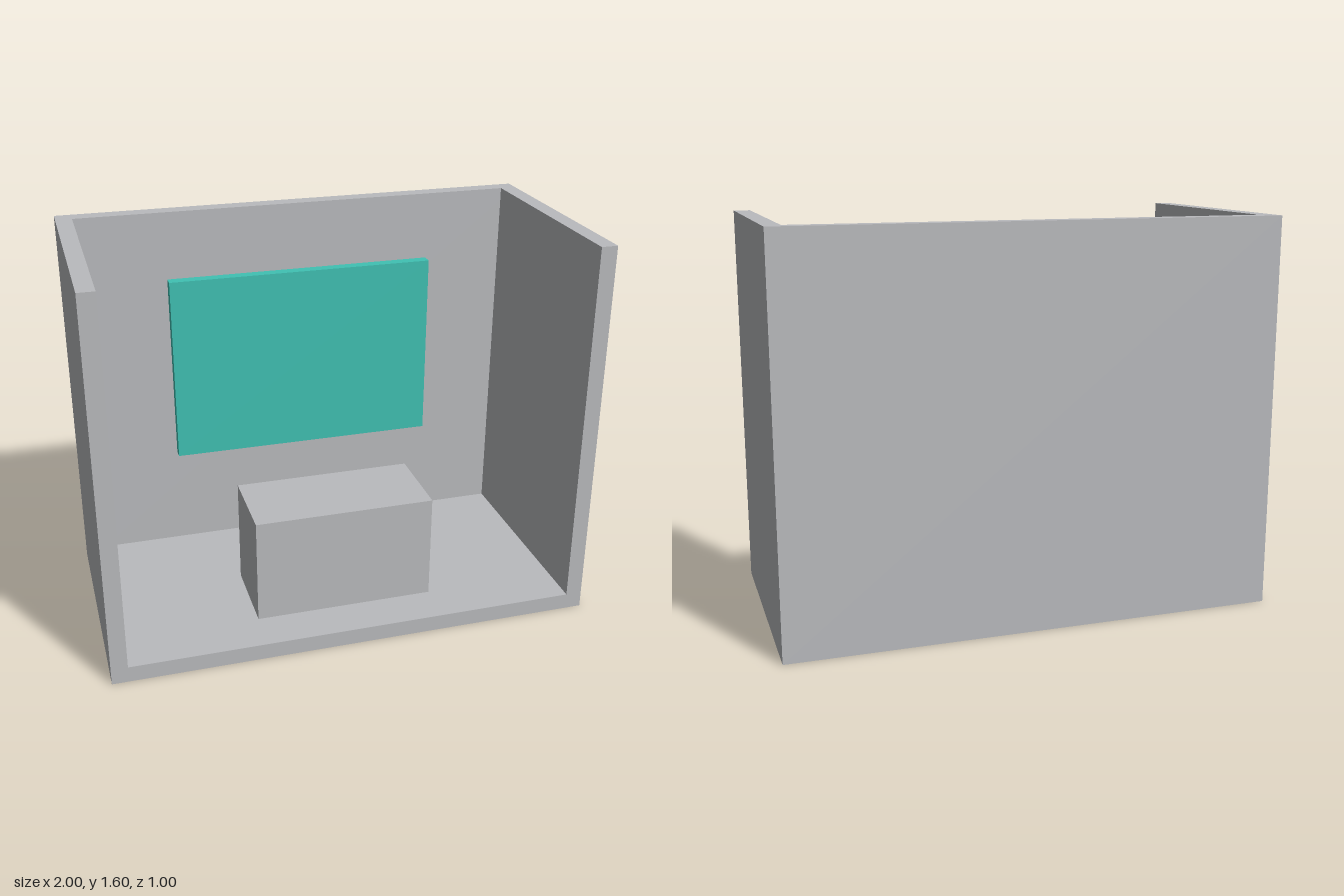
import * as THREE from 'three';

const mat = (name, color) => {
  const m = new THREE.MeshStandardMaterial({ color });
  m.name = name;
  return m;
};

// Box given by its min and max corners
function box(name, material, [x0, y0, z0], [x1, y1, z1]) {
  const mesh = new THREE.Mesh(new THREE.BoxGeometry(x1 - x0, y1 - y0, z1 - z0), material);
  mesh.position.set((x0 + x1) / 2, (y0 + y1) / 2, (z0 + z1) / 2);
  mesh.name = name;
  return mesh;
}

export function createModel() {
  const grey = mat('wallGrey', 0xbabbbe);
  const teal = mat('screenTeal', 0x40c1b3);
  const slate = mat('mountSlate', 0x4a6b82);

  const group = new THREE.Group();
  group.name = 'displayBooth';
  const W = 1, H = 1.6, D = 0.5, T = 0.067; // half width, height, half depth, wall thickness

  // Floor and side walls as one U-shaped extrusion
  const u = new THREE.Shape([
    [-W, 0], [W, 0], [W, H], [W - T, H], [W - T, T], [-W + T, T], [-W + T, H], [-W, H],
  ].map(([x, y]) => new THREE.Vector2(x, y)));
  const shellGeometry = new THREE.ExtrudeGeometry(u, { depth: 2 * D - T, bevelEnabled: false });
  shellGeometry.translate(0, 0, -D + T);
  const shell = new THREE.Mesh(shellGeometry, grey);
  shell.name = 'floorAndSideWalls';

  group.add(
    shell,
    box('backWall', grey, [-W, 0, -D], [W, H, -D + T]),
    box('counter', grey, [-0.373, T, -0.027], [0.373, 0.513, 0.32]),
    // Screen with its smaller backing plate, just clear of the wall
    box('screen', teal, [-0.57, 0.527, -0.387], [0.57, 1.327, -0.34]),
    box('screenBacking', slate, [-0.548, 0.549, -0.413], [0.548, 1.305, -0.387]),
  );
  return group;
}
